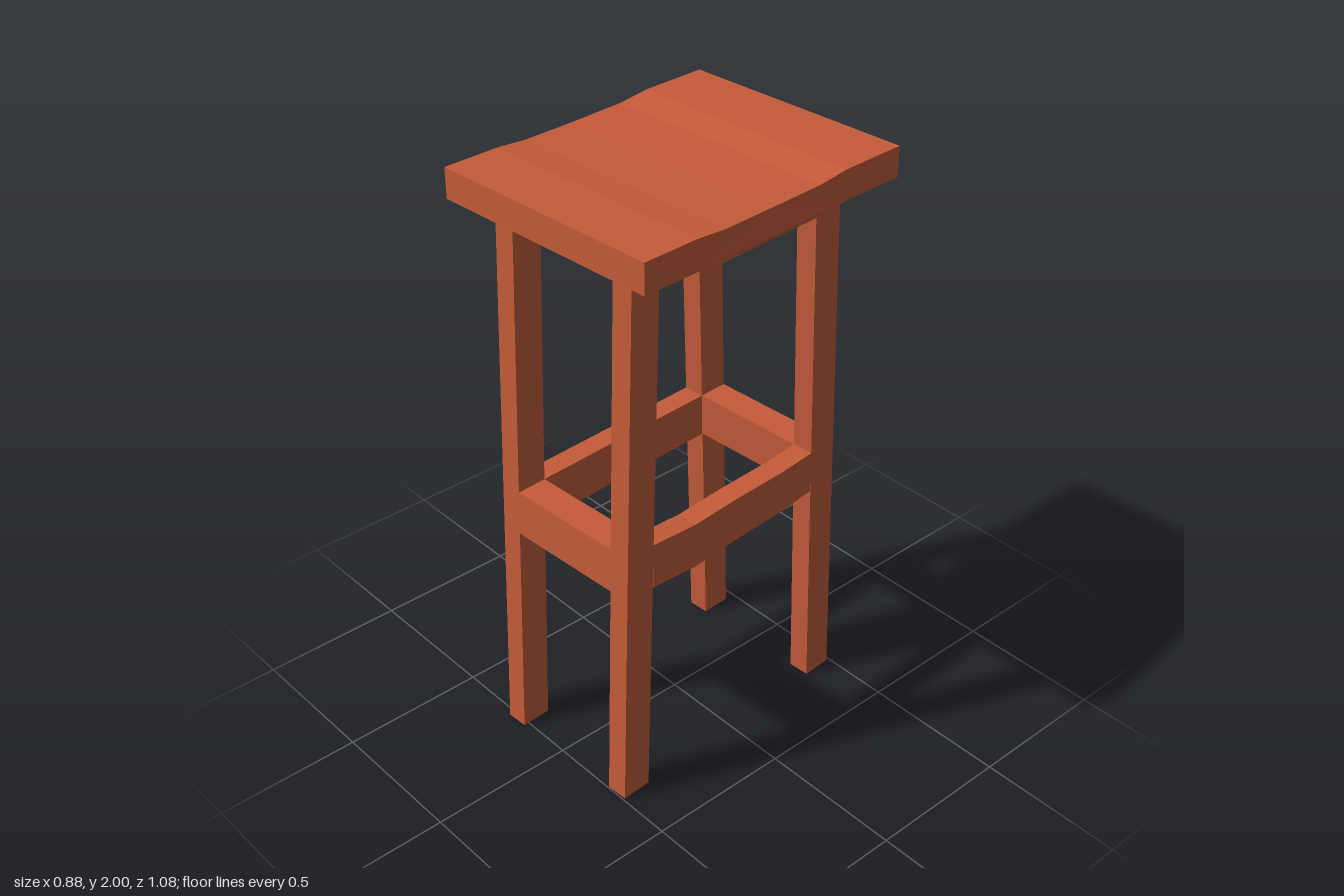
import * as THREE from 'three';

const WIDTH = 0.823, HALF_DEPTH = 0.519; // seat size
const LEG_X = 0.247, LEG_W = 0.075, LEG_D = 0.106;

// Extrude a side profile of [z, y] points along x, centred on x.
function sideExtrude(points, width, x = 0) {
  const shape = new THREE.Shape(points.map(([z, y]) => new THREE.Vector2(z, y)));
  const geometry = new THREE.ExtrudeGeometry(shape, { depth: width, bevelEnabled: false });
  geometry.rotateY(-Math.PI / 2);
  geometry.translate(x + width / 2, 0, 0);
  return geometry;
}

// Centre line of the splayed legs at height y; end is 1 for front, -1 for back.
const legZ = (end, y) => 0.0165 + end * (0.4385 - 0.0335 * y);

// Leaning slab that follows the splay of the legs.
function leaningBar(end, y0, y1, width, x) {
  const d = LEG_D / 2, z0 = legZ(end, y0), z1 = legZ(end, y1);
  return sideExtrude([[z0 - d, y0], [z0 + d, y0], [z1 + d, y1], [z1 - d, y1]], width, x);
}

export function createModel() {
  const stool = new THREE.Group();
  stool.name = 'stool';
  const wood = new THREE.MeshStandardMaterial({ color: 0xc45c39, flatShading: true });
  wood.name = 'reddish wood';

  const add = (name, geometry) => {
    const mesh = new THREE.Mesh(geometry, wood);
    mesh.name = name;
    stool.add(mesh);
  };

  // Saddle seat: [z, top y, sideways sway]
  const saddle = [
    [HALF_DEPTH, 2.0, 0], [0.32, 1.998, 0], [0.21, 1.987, -0.003], [0.02, 1.98, -0.013],
    [-0.18, 1.985, -0.008], [-0.29, 1.998, -0.005], [-HALF_DEPTH, 2.0, 0],
  ];
  const top = saddle.map(([z, y]) => [z, y]);
  const bottom = saddle.map(([z, y]) => [z, y - 0.1]).reverse();
  const seat = sideExtrude([...top, ...bottom], WIDTH);
  const pos = seat.attributes.position;
  for (let i = 0; i < pos.count; i++) {
    const station = saddle.find(([z]) => Math.abs(z - pos.getZ(i)) < 1e-4);
    pos.setX(i, pos.getX(i) + station[2]);
  }
  seat.computeVertexNormals();
  add('seat', seat);

  // Legs, with a rail between each front and back pair
  for (const [end, label] of [[1, 'front'], [-1, 'back']]) {
    for (const [side, sideName] of [[1, 'Left'], [-1, 'Right']]) {
      add(`${label}${sideName}Leg`, leaningBar(end, 0, 1.91, LEG_W, side * LEG_X));
    }
    add(`${label}Rail`, leaningBar(end, 0.79, 0.945, 2 * LEG_X - LEG_W, 0));
  }

  // Side rails: the left one sags slightly, the right one is straight
  const zf = legZ(1, 0.87) - LEG_D / 2, zb = legZ(-1, 0.87) + LEG_D / 2;
  add('leftRail', sideExtrude([
    [zf, 0.945], [0.19, 0.93], [0, 0.936], [-0.2, 0.936], [zb, 0.945],
    [zb, 0.795], [-0.2, 0.782], [0, 0.779], [0.19, 0.77], [zf, 0.787],
  ], LEG_W, LEG_X));
  add('rightRail', sideExtrude([[zf, 0.945], [zb, 0.945], [zb, 0.79], [zf, 0.79]], LEG_W, -LEG_X));

  // The whole stool is turned slightly
  stool.rotation.y = 0.052;
  const model = new THREE.Group();
  model.name = 'barStool';
  model.add(stool);
  return model;
}
